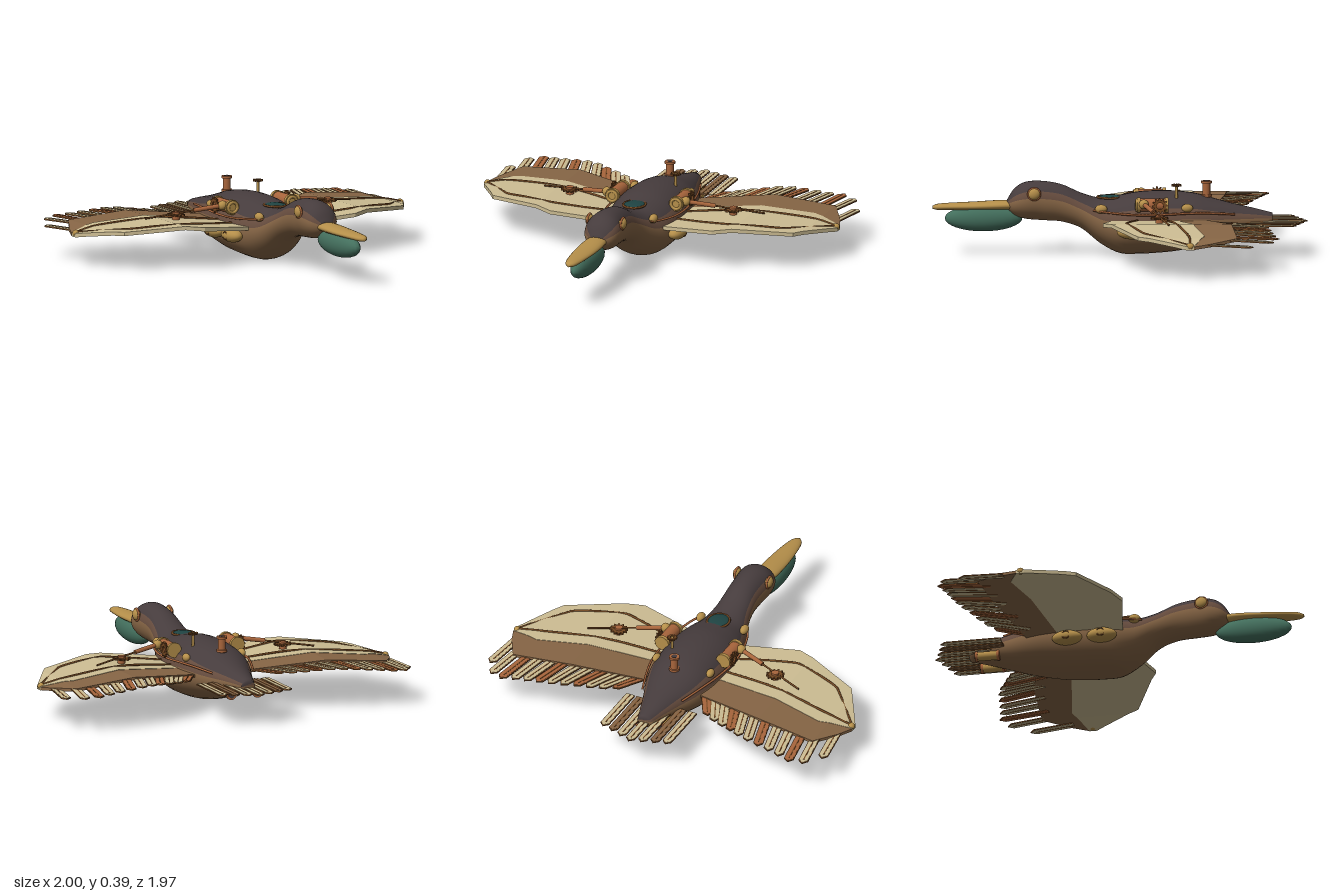
import * as THREE from 'three';

const mat = (name, color, side = THREE.FrontSide) => {
  const m = new THREE.MeshStandardMaterial({ color, side });
  m.name = name;
  return m;
};
const V = (x, y, z) => new THREE.Vector3(x, y, z);

export function createModel() {
  const dark = mat('charcoal plumage', 0x463c3d);
  const band = mat('umber plumage', 0x664c3e);
  const brown = mat('brown leather', 0x866545);
  const cream = mat('cream canvas', 0xcdbd93);
  const gold = mat('brass', 0xb58f4a);
  const copper = mat('copper', 0xa8653c);
  const bronze = mat('dark bronze', 0x744822);
  const green = mat('green pouch', 0x44705e);
  const teal = mat('teal glass', 0x1f4443);
  const model = new THREE.Group();
  model.name = 'mechanicalBird';

  const add = (parent, name, geo, m, pos = [0, 0, 0], rot = [0, 0, 0], scale = [1, 1, 1]) => {
    const mesh = new THREE.Mesh(geo, m);
    mesh.name = name;
    mesh.position.set(...pos);
    mesh.rotation.set(...rot);
    mesh.scale.set(...scale);
    parent.add(mesh);
    return mesh;
  };
  const ball = (p, name, m, pos, scale) => add(p, name, new THREE.SphereGeometry(1, 24, 16), m, pos, [0, 0, 0], scale);
  const cyl = (p, name, m, pos, r, h, rot) => add(p, name, new THREE.CylinderGeometry(r, r, h, 20), m, pos, rot);
  const rod = (p, name, m, a, b, r) => {
    const g = new THREE.CylinderGeometry(r, r, a.distanceTo(b), 10);
    const mesh = add(p, name, g, m);
    mesh.position.copy(a).lerp(b, 0.5);
    mesh.quaternion.setFromUnitVectors(V(0, 1, 0), b.clone().sub(a).normalize());
  };
  const pipe = (p, name, m, pts, r, tension = 0.5) => {
    const c = new THREE.CatmullRomCurve3(pts, false, 'catmullrom', tension);
    add(p, name, new THREE.TubeGeometry(c, 40, r, 6), m);
  };

  // Skin closed rings; slot(j) picks the material index of column j
  const loft = (rings, slot = () => 0) => {
    const n = rings[0].length, last = (rings.length - 1) * n, parts = [[], [], []];
    for (let j = 0; j < n; j++) {
      const k = (j + 1) % n, out = parts[slot(j)];
      for (let i = 0; i < last; i += n) out.push(i + j, i + k, i + n + k, i + j, i + n + k, i + n + j);
      if (j > 0 && j < n - 1) out.push(0, j + 1, j, last, last + j, last + j + 1);
    }
    const g = new THREE.BufferGeometry();
    g.setAttribute('position', new THREE.Float32BufferAttribute(rings.flat(2), 3));
    g.setIndex(parts.flat());
    let start = 0;
    parts.forEach((p, i) => { g.addGroup(start, p.length, i); start += p.length; });
    g.computeVertexNormals();
    return g;
  };
  const flat = (g) => { const f = g.toNonIndexed(); f.computeVertexNormals(); return f; };

  // Smooth rings through stations [z, half width, top, bottom]
  const ovalRings = (st, steps, n) => {
    const size = new THREE.CatmullRomCurve3(st.map((s) => V(s[1], s[2], s[3])), false, 'catmullrom');
    const along = new THREE.CatmullRomCurve3(st.map((s) => V(0, 0, s[0])), false, 'catmullrom');
    return Array.from({ length: steps + 1 }, (_, i) => {
      const p = size.getPoint(i / steps), z = along.getPoint(i / steps).z;
      return Array.from({ length: n }, (_, j) => {
        const a = (j / n) * Math.PI * 2;
        return [p.x * Math.cos(a), (p.y + p.z) / 2 + ((p.y - p.z) / 2) * Math.sin(a), z];
      });
    });
  };

  // Body, neck and head in one skin
  const body = ovalRings([
    [-0.8, 0.04, 0.212, 0.145], [-0.7, 0.075, 0.237, 0.12], [-0.6, 0.11, 0.26, 0.09], [-0.5, 0.15, 0.287, 0.06],
    [-0.4, 0.178, 0.315, 0.035], [-0.3, 0.19, 0.328, 0.015], [-0.2, 0.196, 0.331, 0.005], [-0.1, 0.195, 0.325, 0],
    [0, 0.18, 0.308, 0.004], [0.1, 0.14, 0.294, 0.055], [0.2, 0.103, 0.32, 0.135], [0.3, 0.09, 0.365, 0.17],
    [0.4, 0.092, 0.384, 0.178], [0.49, 0.098, 0.38, 0.186], [0.55, 0.08, 0.345, 0.205], [0.59, 0.035, 0.285, 0.24],
  ], 75, 32);
  const slot = (j) => (j >= 3 && j <= 12 ? 0 : j === 1 || j === 2 || j === 13 || j === 14 ? 1 : 2);
  add(model, 'body', loft(body, slot), [dark, band, brown]);

  // Bill and throat pouch
  add(model, 'upperBill', loft(ovalRings([
    [0.56, 0.05, 0.284, 0.235], [0.64, 0.058, 0.283, 0.234], [0.76, 0.056, 0.276, 0.234],
    [0.88, 0.044, 0.271, 0.234], [0.95, 0.03, 0.266, 0.234], [0.98, 0.008, 0.256, 0.24],
  ], 24, 20)), gold);
  ball(model, 'throatPouch', green, [0, 0.19, 0.712], [0.055, 0.07, 0.203]);

  // Flat toothed gear with a vertical axis
  const gear = (p, name, m, pos, r, rot = [0, 0, 0]) => {
    const s = new THREE.Shape();
    for (let i = 0; i < 48; i++) {
      const a = (i / 48) * Math.PI * 2, q = i % 4 < 2 ? r : r * 0.74;
      s[i ? 'lineTo' : 'moveTo'](Math.cos(a) * q, Math.sin(a) * q);
    }
    s.holes.push(new THREE.Path().absarc(0, 0, r * 0.42, 0, Math.PI * 2, true));
    const g = new THREE.ExtrudeGeometry(s, { depth: 0.01, bevelEnabled: false, curveSegments: 12 });
    add(p, name, g.translate(0, 0, -0.005).rotateX(Math.PI / 2), m, pos, rot);
  };

  // Back fittings: glass port, chimney and valve
  ball(model, 'backPort', teal, [0, 0.298, 0.05], [0.055, 0.012, 0.065]);
  add(model, 'backPortRim', new THREE.TorusGeometry(0.058, 0.006, 6, 28), bronze, [0, 0.299, 0.05], [Math.PI / 2, 0, 0], [1, 1.13, 1]);
  cyl(model, 'chimney', copper, [0, 0.335, -0.455], 0.02, 0.09);
  for (const y of [0.304, 0.375]) cyl(model, 'chimneyCollar', copper, [0, y, -0.455], 0.028, 0.012);
  cyl(model, 'chimneyBore', dark, [0, 0.3815, -0.455], 0.015, 0.002);
  cyl(model, 'valveStem', gold, [0.095, 0.335, -0.295], 0.007, 0.08);
  gear(model, 'valveWheel', bronze, [0.095, 0.372, -0.295], 0.027);

  // Pointed feather running from a to b with a darker rim and quill
  const feather = (p, name, m, a, b, w) => {
    const len = a.distanceTo(b), holder = new THREE.Group();
    holder.name = name;
    const plate = (hw, l, t, pm, part) => {
      const s = new THREE.Shape([[-hw, 0], [hw, 0], [hw, l - hw], [0, l], [-hw, l - hw]].map((q) => new THREE.Vector2(...q)));
      const g = new THREE.ExtrudeGeometry(s, { depth: t, bevelEnabled: false });
      add(holder, part, g.translate(0, 0, -t / 2).rotateX(Math.PI / 2), pm);
    };
    plate(w, len, 0.006, bronze, 'featherRim');
    plate(w - 0.004, len - 0.006, 0.009, m, 'featherVane');
    plate(0.003, len - 0.03, 0.012, bronze, 'featherQuill');
    holder.position.copy(a);
    holder.lookAt(b);
    p.add(holder);
  };

  // Tail fan
  for (let i = -3; i <= 3; i++) {
    const k = Math.abs(i), m = k === 2 ? brown : cream;
    feather(model, 'tailFeather', m, V(i * 0.061, 0.168, -0.6), V(i * 0.061, 0.168, -0.985 + k * 0.021), 0.025);
  }

  // Piecewise linear reading of [x, value] pairs
  const at = (pts, x) => {
    let i = 1;
    while (i < pts.length - 1 && x > pts[i][0]) i++;
    const [a, b] = [pts[i - 1], pts[i]];
    return a[1] + ((b[1] - a[1]) * (x - a[0])) / (b[0] - a[0]);
  };
  const wingY = (x) => at([[0.16, 0.185], [0.55, 0.222], [0.9, 0.192], [1, 0.165]], x);
  const front = [[0.16, 0.045], [0.455, 0.1], [0.845, -0.07], [0.995, -0.32]];
  const seam = [[0.16, -0.295], [0.83, -0.42], [0.995, -0.36]];
  const rear = [[0.16, -0.47], [0.55, -0.57], [0.88, -0.59], [0.96, -0.45], [0.995, -0.362]];
  const panel = (f, r, t) => flat(loft([0.16, 0.3, 0.455, 0.55, 0.7, 0.83, 0.845, 0.88, 0.96, 0.995].map((x) => {
    const y = wingY(x), zf = at(f, x), zr = at(r, x);
    return [[x, y - t, zr], [x, y + t, zr], [x, y + t, zf], [x, y - t, zf]];
  })));
  const onWing = (x, z, h = 0.012) => V(x, wingY(x) + h, z);

  const side = (sign) => {
    const s = new THREE.Group();
    s.name = sign > 0 ? 'leftSide' : 'rightSide';
    s.scale.x = sign;

    // Wing panels and piping
    add(s, 'wingCanvas', panel(front, seam, 0.01), cream);
    add(s, 'wingLeather', panel(seam, rear, 0.008), brown);
    pipe(s, 'rearPiping', bronze, [[0.18, -0.22], [0.5, -0.275], [0.83, -0.335], [0.985, -0.34]].map((q) => onWing(...q)), 0.006);
    pipe(s, 'frontPiping', bronze, [[0.18, -0.09], [0.33, -0.05], [0.5, -0.02], [0.66, -0.065], [0.78, -0.11], [0.985, -0.34]].map((q) => onWing(...q)), 0.006, 0.15);
    ball(s, 'wingTipKnob', gold, [0.982, 0.175, -0.34], [0.018, 0.018, 0.02]);

    // Wing feathers
    const tips = [[0.28, -0.62], [0.34, -0.66], [0.4, -0.69], [0.46, -0.715], [0.52, -0.745], [0.585, -0.765],
      [0.65, -0.775], [0.715, -0.785], [0.78, -0.795], [0.845, -0.81], [0.915, -0.78], [0.975, -0.67]];
    tips.forEach(([x, z], i) => {
      const bx = x - 0.11 + i * 0.007, bz = Math.max(at(rear, bx) + 0.05, z - 0.01 + 0.2);
      feather(s, 'wingFeather', i % 3 === 0 ? copper : cream,
        V(bx, wingY(bx) - 0.001 - (i % 2) * 0.003, bz), V(x, wingY(x) - 0.004, z), 0.026);
    });

    // Shoulder cylinder, piston and gears
    cyl(s, 'shoulderCylinder', copper, [0.18, 0.28, -0.165], 0.034, 0.14, [Math.PI / 2, 0, 0]);
    for (const z of [-0.24, -0.095]) cyl(s, 'shoulderCap', gold, [0.18, 0.28, z], 0.04, 0.018, [Math.PI / 2, 0, 0]);
    add(s, 'shoulderRing', new THREE.TorusGeometry(0.027, 0.008, 8, 20), gold, [0.18, 0.28, -0.085]);
    ball(s, 'shoulderJoint', gold, [0.222, 0.29, -0.12], [0.025, 0.025, 0.025]);
    rod(s, 'pistonSleeve', copper, V(0.22, 0.29, -0.12), V(0.37, 0.27, -0.165), 0.012);
    rod(s, 'pistonRod', bronze, V(0.36, 0.271, -0.162), V(0.62, 0.236, -0.24), 0.005);
    gear(s, 'wingGear', bronze, [0.46, 0.25, -0.195], 0.048, [0, 0, 0.04]);
    cyl(s, 'wingGearHub', copper, [0.46, 0.245, -0.195], 0.02, 0.04);
    gear(s, 'shoulderGear', bronze, [0.219, 0.28, -0.205], 0.042, [0, 0, Math.PI / 2]);

    // Rail, rivets and side pods
    pipe(s, 'bodyRail', copper, [V(0.125, 0.245, 0.14), V(0.165, 0.238, 0.06), V(0.194, 0.23, -0.06), V(0.2, 0.23, -0.2),
      V(0.188, 0.235, -0.34), V(0.16, 0.232, -0.46), V(0.115, 0.22, -0.6)], 0.006);
    ball(s, 'frontLamp', gold, [0.128, 0.252, 0.1], [0.022, 0.024, 0.032]);
    ball(s, 'rearLamp', gold, [0.158, 0.26, -0.35], [0.02, 0.022, 0.03]);
    for (const z of [-0.06, -0.245]) {
      ball(s, 'sidePod', gold, [0.2, 0.14, z], [0.047, 0.038, 0.08]);
      add(s, 'sidePodRing', new THREE.TorusGeometry(0.02, 0.004, 6, 20), bronze, [0.241, 0.14, z], [0, Math.PI / 2, 0]);
    }

    // Eye
    ball(s, 'eye', gold, [0.094, 0.328, 0.45], [0.02, 0.031, 0.031]);
    add(s, 'eyeRim', new THREE.TorusGeometry(0.031, 0.006, 8, 24), copper, [0.094, 0.328, 0.45], [0, Math.PI / 2, 0]);

    // Tail nozzle
    cyl(s, 'tailNozzle', gold, [0.075, 0.132, -0.69], 0.024, 0.11, [Math.PI / 2, 0, 0]);
    for (const z of [-0.635, -0.75]) cyl(s, 'nozzleCollar', copper, [0.075, 0.132, z], 0.028, 0.014, [Math.PI / 2, 0, 0]);
    cyl(s, 'nozzleBore', dark, [0.075, 0.132, -0.758], 0.018, 0.004, [Math.PI / 2, 0, 0]);
    model.add(s);
  };
  side(1);
  side(-1);
  return model;
}
